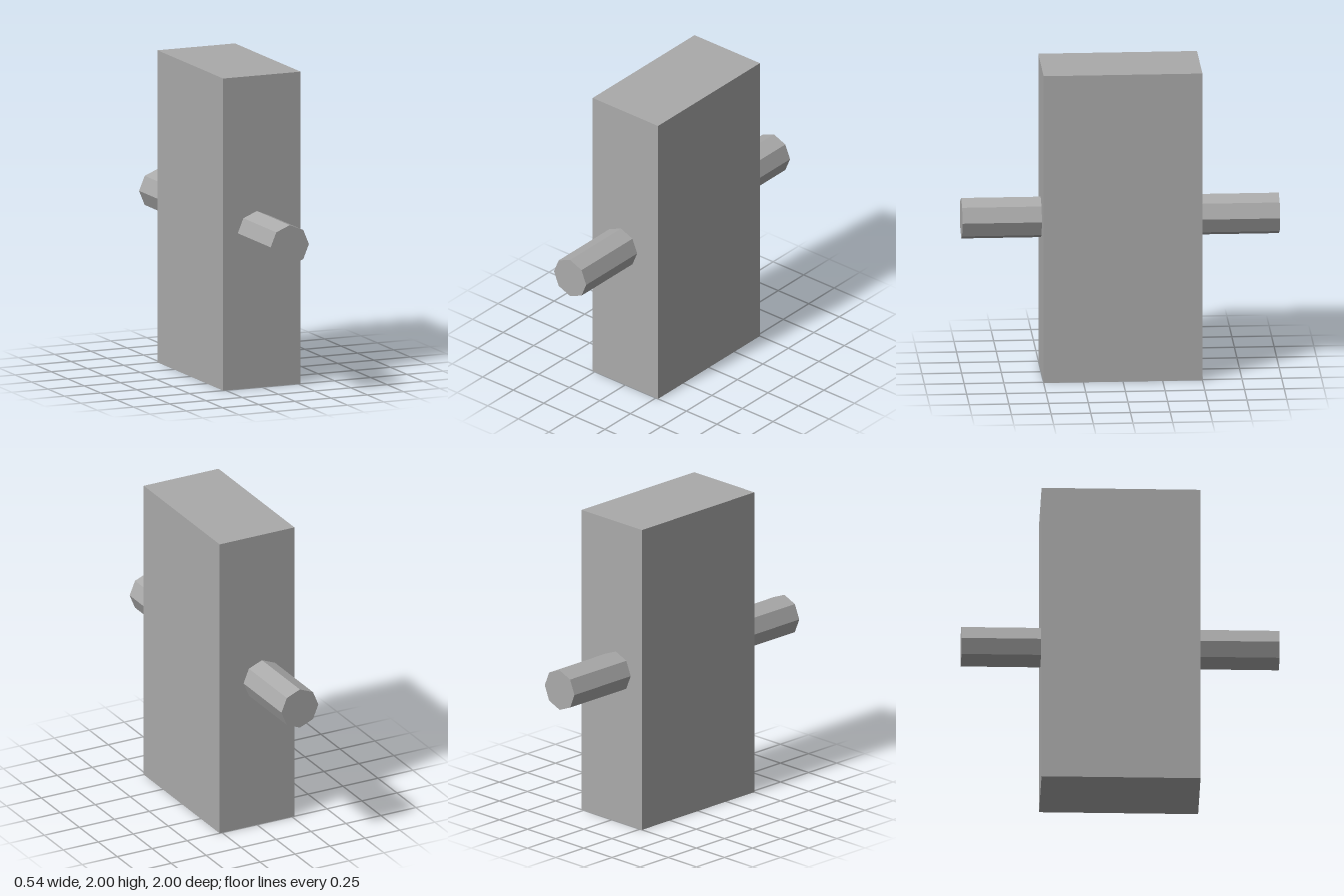
import * as THREE from 'three';

export function createModel() {
  const model = new THREE.Group();
  const grey = new THREE.MeshStandardMaterial({ color: 0xaaaaaa, flatShading: true });
  grey.name = 'grey';

  // Upright slab
  const body = new THREE.Mesh(new THREE.BoxGeometry(0.535, 2, 1), grey);
  body.name = 'body';
  body.position.y = 1;
  model.add(body);

  // Eight-sided axle stubs on the front and back, slightly off centre
  const length = 0.5;
  for (const [name, side] of [['frontAxle', 1], ['backAxle', -1]]) {
    const geometry = new THREE.CylinderGeometry(0.132, 0.132, length, 8).rotateX(Math.PI / 2);
    const axle = new THREE.Mesh(geometry, grey);
    axle.name = name;
    axle.position.set(-0.035, 1, side * (0.5 + length / 2));
    model.add(axle);
  }

  return model;
}
